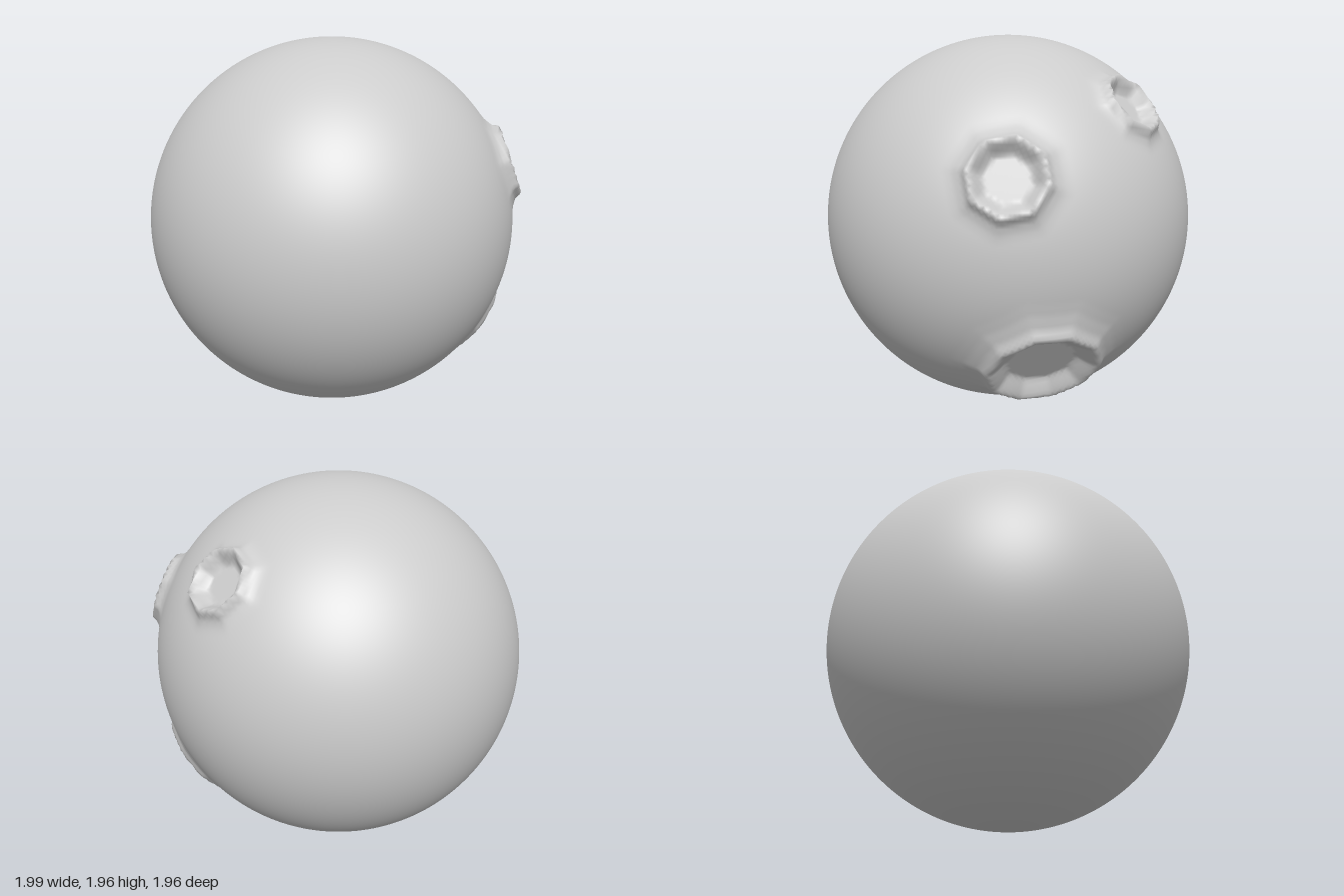
import * as THREE from 'three';
import { mergeVertices } from 'three/addons/utils/BufferGeometryUtils.js';

const RADIUS = 0.982;

// dir: centre direction, r: rim radius, rim: rim distance from the core,
// floor: distance of the flat floor, sides: corners of the rim, turn: rim rotation
const CRATERS = [
  { dir: [0.947, 0.362, 0.12], r: 0.187, rim: 1.036, floor: 0.955, sides: 8, turn: 0.2 },
  { dir: [0.587, 0.672, -0.55], r: 0.166, rim: 1.036, floor: 0.955, sides: 8, turn: 0.1 },
  { dir: [0.79, -0.59, -0.07], r: 0.28, rim: 1.03, floor: 0.93, sides: 10, turn: 0 },
].map((c) => {
  const axis = new THREE.Vector3(...c.dir).normalize();
  const u = new THREE.Vector3(0, 1, 0).cross(axis).normalize();
  return { ...c, axis, u, v: axis.clone().cross(u) };
});

// Distance from the core along unit direction n, shaped by one crater
function craterHeight(n, c) {
  const cos = n.dot(c.axis);
  if (cos < 0.5) return RADIUS;
  // polygonal distance from the crater centre, 1 on the rim
  const step = (2 * Math.PI) / c.sides;
  const phi = Math.atan2(n.dot(c.v), n.dot(c.u)) + c.turn + 4 * Math.PI;
  const a = (phi % step) - step / 2;
  const reach = Math.sin(Math.acos(Math.min(1, cos))) * c.rim / c.r;
  const p = reach * Math.cos(a) / Math.cos(step / 2);
  const floor = c.floor / cos;
  const profile = [
    [0, floor], [0.7, floor], [0.93, c.rim - 0.008], [1, c.rim],
    [1.15, RADIUS + 0.018], [1.4, RADIUS + 0.003], [1.6, RADIUS],
  ];
  for (let i = 1; i < profile.length; i++) {
    const [p0, h0] = profile[i - 1];
    const [p1, h1] = profile[i];
    if (p <= p1) return THREE.MathUtils.lerp(h0, h1, (p - p0) / (p1 - p0));
  }
  return RADIUS;
}

export function createModel() {
  const group = new THREE.Group();
  group.name = 'crateredMoon';

  // Even sphere with the craters pressed into it
  let geo = new THREE.IcosahedronGeometry(1, 64);
  geo.deleteAttribute('uv');
  geo.deleteAttribute('normal');
  geo = mergeVertices(geo, 1e-4);
  const pos = geo.attributes.position;
  const n = new THREE.Vector3();
  for (let i = 0; i < pos.count; i++) {
    n.fromBufferAttribute(pos, i).normalize();
    let h = RADIUS;
    for (const c of CRATERS) {
      const k = craterHeight(n, c);
      if (k !== RADIUS) h = k;
    }
    pos.setXYZ(i, n.x * h, n.y * h, n.z * h);
  }
  geo.computeVertexNormals();

  const moon = new THREE.Mesh(geo, new THREE.MeshStandardMaterial({ color: 0xcccccc }));
  moon.name = 'moonSurface';
  moon.position.set(-0.018, RADIUS, 0);
  group.add(moon);
  return group;
}
